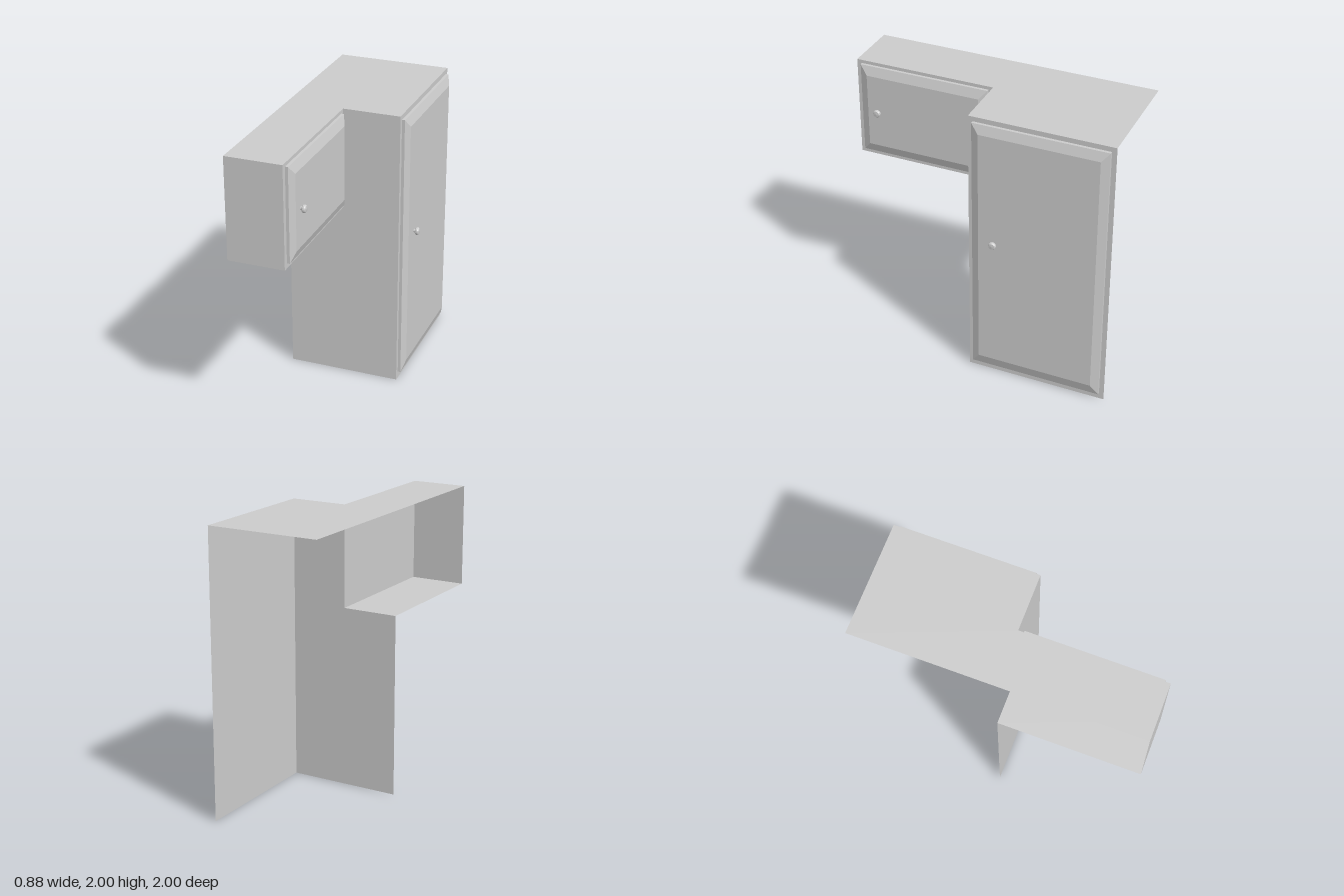
import * as THREE from 'three';

const BACK = -0.44, TALL = 0.355, WALL = -0.045, SHELF = 1.285;

export function createModel() {
  const model = new THREE.Group();
  const carcassMat = new THREE.MeshStandardMaterial({ color: 0xcccccc, side: THREE.DoubleSide });
  const mat = new THREE.MeshStandardMaterial({ color: 0xcccccc });

  function add(parent, name, geometry, material = mat) {
    const mesh = new THREE.Mesh(geometry, material);
    mesh.name = name;
    parent.add(mesh);
    return mesh;
  }

  // Thin flat panel from a 2D outline
  function panel(parent, name, points) {
    const shape = new THREE.Shape(points.map(([a, b]) => new THREE.Vector2(a, b)));
    return add(parent, name, new THREE.ShapeGeometry(shape), carcassMat);
  }

  // Carcass: open at the wall sides and under the tall cupboard
  const carcass = new THREE.Group();
  carcass.name = 'carcass';
  model.add(carcass);

  // Top outline in (x, -z)
  const top = panel(carcass, 'top',
    [[BACK, -1], [WALL, -1], [WALL, 0], [TALL, 0], [TALL, 1], [BACK, 1]]);
  top.rotation.x = -Math.PI / 2;
  top.position.y = 2;

  // Side of the tall cupboard, cut out where the wall cupboard joins
  panel(carcass, 'tallSide',
    [[BACK, 0], [TALL, 0], [TALL, 2], [WALL, 2], [WALL, SHELF], [BACK, SHELF]]);

  panel(carcass, 'wallCupboardEnd',
    [[BACK, SHELF], [WALL, SHELF], [WALL, 2], [BACK, 2]]).position.z = 1;

  // Underside outline in (x, z)
  const floor = panel(carcass, 'wallCupboardFloor', [[BACK, 0], [WALL, 0], [WALL, 1], [BACK, 1]]);
  floor.rotation.x = Math.PI / 2;
  floor.position.y = SHELF;

  // Panels behind the doors, outlines in (-z, y)
  const tallFace = panel(carcass, 'tallFace', [[0, 0], [1, 0], [1, 2], [0, 2]]);
  tallFace.rotation.y = Math.PI / 2;
  tallFace.position.x = TALL;
  const wallFace = panel(carcass, 'wallCupboardFace', [[-1, SHELF], [0, SHELF], [0, 2], [-1, 2]]);
  wallFace.rotation.y = Math.PI / 2;
  wallFace.position.x = WALL;

  // Knob profile turned about its axis
  const knobGeometry = new THREE.LatheGeometry([
    [0.012, 0], [0.012, 0.012], [0.021, 0.012], [0.027, 0.018],
    [0.027, 0.029], [0.021, 0.037], [0, 0.04],
  ].map(([r, h]) => new THREE.Vector2(r, h)), 12).toNonIndexed();
  knobGeometry.rotateZ(-Math.PI / 2);
  knobGeometry.computeVertexNormals();

  // Door: a slab with a bevelled raised panel and a knob; ranges are [min, max]
  function door(name, x, y, z, innerY, innerZ, knobY, knobZ) {
    const group = new THREE.Group();
    group.name = name;
    model.add(group);
    const h = y[1] - y[0], w = z[1] - z[0];
    const cy = (y[0] + y[1]) / 2, cz = (z[0] + z[1]) / 2;

    add(group, 'doorSlab', new THREE.BoxGeometry(0.02, h, w)).position.set(x + 0.01, cy, cz);

    const raised = new THREE.BoxGeometry(0.024, h, w).translate(x + 0.032, cy, cz);
    const pos = raised.attributes.position;
    for (let i = 0; i < pos.count; i++) {
      if (pos.getX(i) < x + 0.03) continue;
      pos.setY(i, innerY[pos.getY(i) > cy ? 1 : 0]);
      pos.setZ(i, innerZ[pos.getZ(i) > cz ? 1 : 0]);
    }
    raised.computeVertexNormals();
    add(group, 'raisedPanel', raised);

    add(group, 'knob', knobGeometry).position.set(x + 0.044, knobY, knobZ);
  }

  door('tallDoor', TALL, [0.048, 1.966], [-0.966, -0.032],
    [0.125, 1.903], [-0.912, -0.086], 1.097, -0.197);
  door('wallCupboardDoor', WALL, [1.32, 1.977], [0.034, 0.965],
    [1.385, 1.913], [0.088, 0.911], 1.65, 0.833);

  return model;
}
